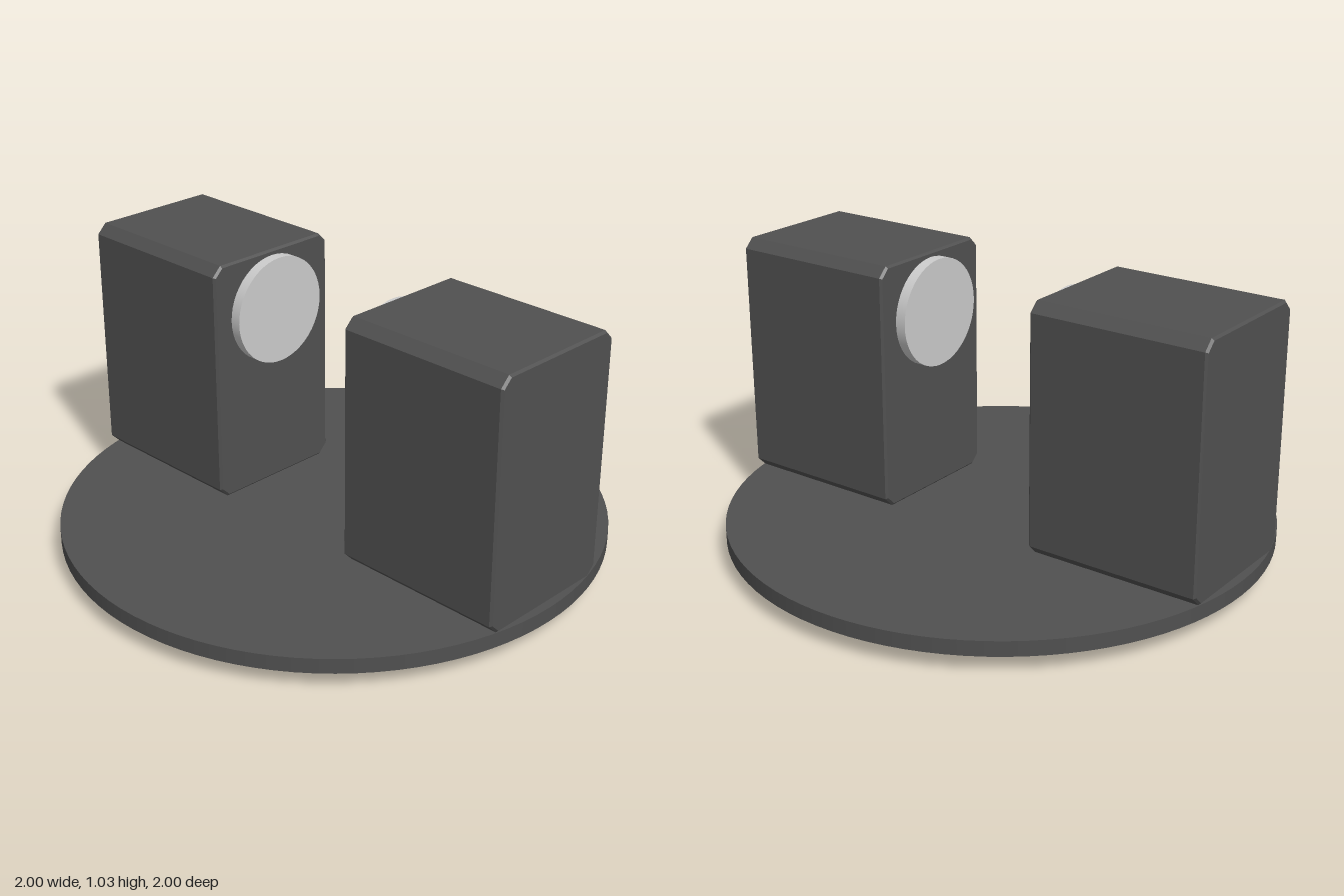
import * as THREE from 'three';

export function createModel() {
  const model = new THREE.Group();
  const dark = new THREE.MeshStandardMaterial({ color: 0x505050 });
  const grey = new THREE.MeshStandardMaterial({ color: 0xcccccc });

  const add = (name, geometry, material, parent = model) => {
    const mesh = new THREE.Mesh(geometry, material);
    mesh.name = name;
    parent.add(mesh);
    return mesh;
  };

  // Round base: a narrow foot below a wide plate
  add('foot', new THREE.CylinderGeometry(0.605, 0.605, 0.065, 64), dark).position.y = 0.0325;
  add('basePlate', new THREE.CylinderGeometry(1, 1, 0.055, 96), dark).position.y = 0.0925;

  // Block cross-section: a rectangle with chamfered corners
  const w = 0.275, y0 = 0.12, y1 = 1.03, c = 0.036;
  const profile = new THREE.Shape([
    [-w + c, y0], [w - c, y0], [w, y0 + c], [w, y1 - c],
    [w - c, y1], [-w + c, y1], [-w, y1 - c], [-w, y0 + c],
  ].map(([x, y]) => new THREE.Vector2(x, y)));

  // Extruded along x, with fine bevels on the end faces
  const inner = 0.315, outer = 0.975, bevel = 0.008;
  const blockGeometry = new THREE.ExtrudeGeometry(profile, {
    depth: outer - inner - 2 * bevel,
    bevelThickness: bevel, bevelSize: bevel, bevelOffset: -bevel, bevelSegments: 1,
  }).rotateY(Math.PI / 2).translate(inner + bevel, 0, 0);

  // Round pad on the inner face of each block
  const padGeometry = new THREE.CylinderGeometry(0.2, 0.2, 0.06, 48)
    .rotateZ(Math.PI / 2).translate(0.305, 0.81, 0);

  // Two facing uprights; the right one is turned half a turn
  for (const side of ['left', 'right']) {
    const upright = new THREE.Group();
    upright.name = side + 'Upright';
    add(side + 'Block', blockGeometry, dark, upright);
    add(side + 'Pad', padGeometry, grey, upright);
    if (side === 'right') upright.rotation.y = Math.PI;
    model.add(upright);
  }

  return model;
}
